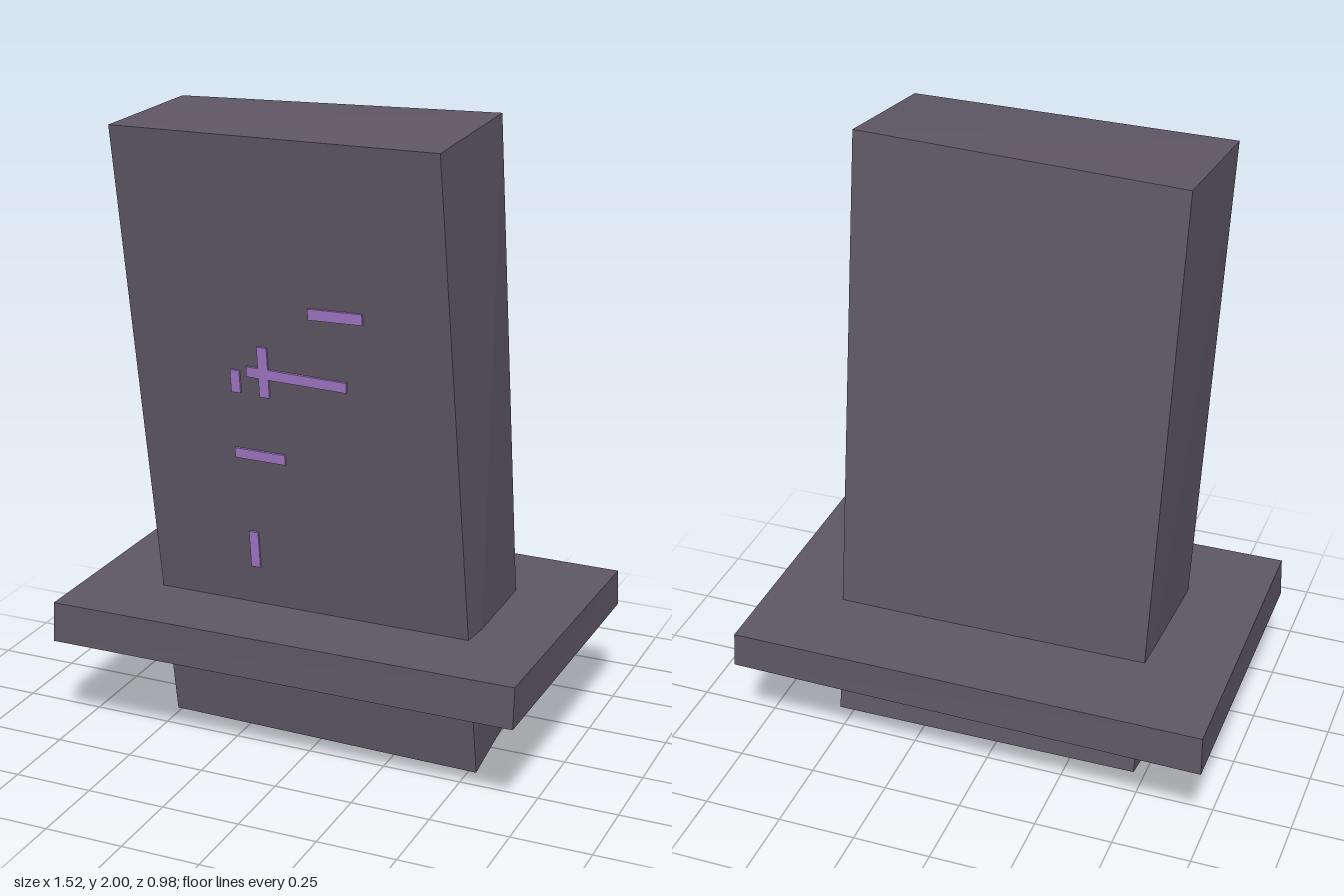
import * as THREE from 'three';

// Six-sided block from its corners: bottom then top, each
// front-left, front-right, back-right, back-left as seen from the front.
function block(name, corners, material) {
  const faces = [
    [0, 1, 5, 4], [1, 2, 6, 5], [2, 3, 7, 6],
    [3, 0, 4, 7], [4, 5, 6, 7], [3, 2, 1, 0],
  ];
  const pos = [];
  for (const [a, b, c, d] of faces) {
    for (const i of [a, b, c, a, c, d]) pos.push(...corners[i]);
  }
  const geometry = new THREE.BufferGeometry();
  geometry.setAttribute('position', new THREE.Float32BufferAttribute(pos, 3));
  geometry.computeVertexNormals();
  const mesh = new THREE.Mesh(geometry, material);
  mesh.name = name;
  return mesh;
}

export function createModel() {
  const stone = new THREE.MeshStandardMaterial({ color: 0x5e5764 });
  stone.name = 'dark stone';
  const glow = new THREE.MeshStandardMaterial({ color: 0xa276c6 });
  glow.name = 'purple';

  const model = new THREE.Group();
  model.name = 'leaningStone';

  // Leaning, slightly uneven slab
  model.add(block('slab', [
    [-0.5, 0.015, 0.175], [0.525, 0, 0.175], [0.515, 0.06, -0.24], [-0.485, 0.065, -0.235],
    [-0.555, 1.955, 0.4], [0.465, 1.96, 0.4], [0.495, 2, -0.003], [-0.53, 1.97, -0.01],
  ], stone));

  // Flat plinth around the foot of the slab
  model.add(block('plinth', [
    [-0.76, 0.335, 0.49], [0.745, 0.335, 0.485], [0.76, 0.34, -0.48], [-0.765, 0.335, -0.492],
    [-0.755, 0.465, 0.49], [0.745, 0.465, 0.478], [0.755, 0.455, -0.477], [-0.762, 0.46, -0.483],
  ], stone));

  // Thin strokes lying on the front face: x, y, width, height, roll
  const strokes = [
    [0.13, 1.448, 0.17, 0.034, 0.02],
    [-0.005, 1.236, 0.32, 0.032, -0.03],
    [-0.11, 1.244, 0.032, 0.16, 0],
    [-0.203, 1.205, 0.03, 0.072, 0],
    [-0.138, 0.97, 0.164, 0.032, -0.015],
    [-0.178, 0.65, 0.03, 0.12, 0],
  ];
  const marks = new THREE.Group();
  marks.name = 'marks';
  const slope = 0.1157;
  for (const [x, y, w, h, roll] of strokes) {
    const stroke = new THREE.Mesh(new THREE.BoxGeometry(w, h, 0.009), glow);
    stroke.name = 'stroke';
    stroke.position.set(x, y, 0.177 + (y - 0.01) * slope);
    stroke.rotation.set(Math.atan(slope), 0, roll);
    marks.add(stroke);
  }
  model.add(marks);
  return model;
}
